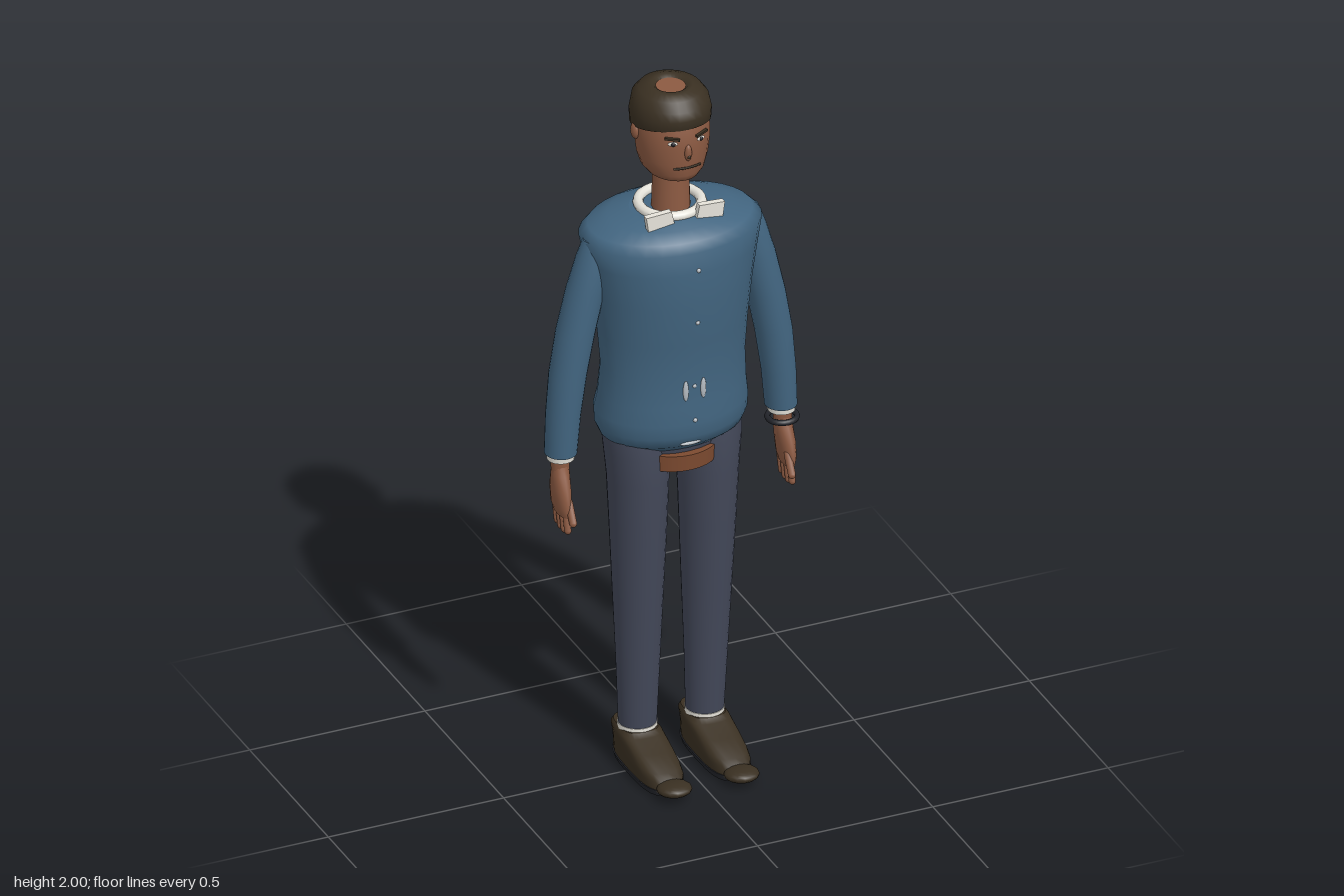
import * as THREE from 'three';

const mat = (name, color) => new THREE.MeshStandardMaterial({ name, color });

// Smooth capped loft through oval rings listed upward:
// [y, x centre, z centre, x radius, z radius, tilt (rise in y per z)]
function loft(rings, { seg = 24, power = 1 } = {}) {
  const pos = [], idx = [];
  const sp = v => Math.sign(v) * Math.abs(v) ** power;
  const ring = ([y, cx, cz, rx, rz, tilt = 0]) => {
    const start = pos.length / 3;
    for (let i = 0; i < seg; i++) {
      const a = (i / seg) * Math.PI * 2;
      const dz = rz * sp(Math.cos(a));
      pos.push(cx + rx * sp(Math.sin(a)), y + dz * tilt, cz + dz);
    }
    return start;
  };
  const starts = rings.map(ring);
  for (let j = 0; j < rings.length - 1; j++) {
    for (let i = 0; i < seg; i++) {
      const n = (i + 1) % seg, a = starts[j], b = starts[j + 1];
      idx.push(a + i, a + n, b + i, a + n, b + n, b + i);
    }
  }
  // Caps have their own vertices so their edges stay crisp
  [[rings[0], false], [rings[rings.length - 1], true]].forEach(([r, up]) => {
    const s = ring(r), c = pos.length / 3;
    pos.push(r[1], r[0], r[2]);
    for (let i = 0; i < seg; i++) {
      const n = (i + 1) % seg;
      idx.push(c, s + (up ? i : n), s + (up ? n : i));
    }
  });
  const g = new THREE.BufferGeometry();
  g.setAttribute('position', new THREE.Float32BufferAttribute(pos, 3));
  g.setIndex(idx);
  g.computeVertexNormals();
  return g;
}

export function createModel() {
  const skin = mat('skin', 0x8c5a42);
  const sweater = mat('sweater blue', 0x426580);
  const trousers = mat('trouser grey', 0x434859);
  const dark = mat('dark brown', 0x3a3022);
  const white = mat('off white', 0xe6e3da);
  const leather = mat('belt leather', 0x7c4a30);
  const black = mat('near black', 0x22242a);
  const silver = mat('button grey', 0xb4bac0);

  const model = new THREE.Group();
  model.name = 'standingMan';
  const add = (name, geo, material, p = [0, 0, 0], r = [0, 0, 0], s = [1, 1, 1], parent = model) => {
    const m = new THREE.Mesh(geo, material);
    m.name = name;
    m.position.set(...p);
    m.rotation.set(...r);
    m.scale.set(...s);
    parent.add(m);
    return m;
  };
  const ball = new THREE.SphereGeometry(1, 14, 10);

  // Sweater body
  add('sweaterBody', loft([
    [0.965, 0, -0.055, 0.165, 0.115],
    [0.99, 0, -0.053, 0.195, 0.143],
    [1.02, 0, -0.053, 0.208, 0.155],
    [1.06, 0, -0.053, 0.21, 0.158],
    [1.11, 0, -0.046, 0.203, 0.148],
    [1.2, 0, -0.04, 0.198, 0.14],
    [1.3, 0, -0.043, 0.205, 0.155],
    [1.42, 0, -0.047, 0.218, 0.174],
    [1.52, 0, -0.053, 0.237, 0.18],
    [1.58, 0, -0.056, 0.25, 0.178],
    [1.605, 0, -0.057, 0.225, 0.163],
    [1.625, 0, -0.057, 0.17, 0.13],
    [1.637, 0, -0.057, 0.11, 0.095],
  ], { seg: 32 }), sweater);

  // Buttons, front strips and buckle
  [[1.07, 0.104], [1.17, 0.099], [1.37, 0.121], [1.53, 0.127]].forEach(([y, z]) =>
    add('button', ball, silver, [0, y, z], [0, 0, 0], [0.006, 0.006, 0.005]));
  [-1, 1].forEach(s =>
    add('frontStrip', ball, silver, [s * 0.025, 1.16, 0.1], [0, 0, 0], [0.008, 0.03, 0.005]));
  add('buckle', ball, silver, [-0.008, 0.998, 0.092], [0, 0, 0], [0.03, 0.006, 0.006]);

  // Hips and belt
  add('hips', loft([
    [0.875, 0, -0.05, 0.06, 0.07],
    [0.91, 0, -0.05, 0.11, 0.1],
    [0.96, 0, -0.05, 0.15, 0.11],
    [1.01, 0, -0.053, 0.18, 0.12],
  ]), trousers);
  add('belt', new THREE.CylinderGeometry(0.126, 0.124, 0.046, 32), leather, [0, 0.93, -0.046]);

  // Neck, collar and head
  add('neck', new THREE.CylinderGeometry(0.047, 0.052, 0.16, 20), skin, [0, 1.7, -0.052]);
  add('collar', new THREE.TorusGeometry(0.083, 0.014, 10, 32), white, [0, 1.643, -0.058], [Math.PI / 2, 0, 0]);
  add('head', loft([
    [1.748, 0, -0.043, 0.045, 0.065],
    [1.757, 0, -0.043, 0.068, 0.087],
    [1.775, 0, -0.044, 0.082, 0.097],
    [1.81, 0, -0.045, 0.093, 0.102],
    [1.86, 0, -0.045, 0.099, 0.105],
    [1.92, 0, -0.05, 0.099, 0.107],
    [1.965, 0, -0.052, 0.08, 0.085],
    [1.993, 0, -0.052, 0.038, 0.04],
  ]), skin);
  add('hair', loft([
    [1.892, 0, -0.054, 0.099, 0.107, 0.2],
    [1.894, 0, -0.055, 0.105, 0.115, 0.2],
    [1.93, 0, -0.055, 0.107, 0.117, 0.1],
    [1.965, 0, -0.055, 0.1, 0.11],
    [1.988, 0, -0.054, 0.083, 0.09],
    [1.999, 0, -0.053, 0.058, 0.062],
    [1.999, 0, -0.053, 0.047, 0.049],
    [1.99, 0, -0.052, 0.036, 0.038],
  ], { seg: 28 }), dark);

  // Face
  add('nose', ball, skin, [0, 1.848, 0.059], [0, 0, 0], [0.01, 0.024, 0.009]);
  add('noseShadowPlate', ball, dark, [0, 1.838, 0.066], [0, 0, 0], [0.005, 0.005, 0.003]);
  add('mouth', new THREE.TorusGeometry(0.115, 0.003, 6, 12, 0.68), dark,
    [0, 1.802, -0.058], [Math.PI / 2, 0, Math.PI / 2 - 0.34]);

  // Paired parts: +1 is the model's left
  [[1, 'left'], [-1, 'right']].forEach(([s, side]) => {
    add(side + 'EyeWhite', ball, white, [s * 0.04, 1.878, 0.05], [0, s * 0.35, 0], [0.013, 0.006, 0.004]);
    add(side + 'Iris', ball, black, [s * 0.04, 1.878, 0.053], [0, s * 0.35, 0], [0.006, 0.006, 0.004]);
    add(side + 'Brow', new THREE.BoxGeometry(0.04, 0.006, 0.008), dark,
      [s * 0.042, 1.894, 0.052], [0, s * 0.4, s * 0.12]);
    add(side + 'Ear', ball, skin, [s * 0.1, 1.88, -0.055], [0, 0, 0], [0.012, 0.024, 0.017]);

    // Bow tie wing
    const wing = new THREE.Shape([
      [0.032, 1.636], [0.106, 1.626], [0.112, 1.668], [0.04, 1.672],
    ].map(([x, y]) => new THREE.Vector2(s * x, y)));
    add(side + 'TieWing', new THREE.ExtrudeGeometry(wing, { depth: 0.018, bevelEnabled: false }), white, [0, 0, 0.026]);

    // Sleeve, cuff and wrist
    add(side + 'Sleeve', loft([
      [0.968, s * 0.314, -0.052, 0.043, 0.046],
      [1.08, s * 0.307, -0.052, 0.046, 0.05],
      [1.2, s * 0.293, -0.053, 0.05, 0.054],
      [1.32, s * 0.271, -0.054, 0.052, 0.055],
      [1.44, s * 0.243, -0.053, 0.052, 0.053],
      [1.53, s * 0.217, -0.052, 0.051, 0.048],
      [1.585, s * 0.2, -0.052, 0.048, 0.04],
    ]), sweater);
    add(side + 'Cuff', new THREE.CylinderGeometry(0.039, 0.037, 0.025, 16), white, [s * 0.315, 0.964, -0.05]);
    add(side + 'Wrist', new THREE.CylinderGeometry(0.026, 0.024, 0.09, 14), skin, [s * 0.317, 0.925, -0.048]);

    // Hand with four fingers and a thumb
    const hand = new THREE.Group();
    hand.name = side + 'Hand';
    model.add(hand);
    add('palm', loft([
      [0.8, s * 0.321, -0.032, 0.014, 0.042],
      [0.825, s * 0.321, -0.034, 0.021, 0.049],
      [0.87, s * 0.32, -0.04, 0.024, 0.046],
      [0.91, s * 0.318, -0.046, 0.024, 0.032],
      [0.935, s * 0.317, -0.048, 0.022, 0.025],
    ], { seg: 16 }), skin, [0, 0, 0], [0, 0, 0], [1, 1, 1], hand);
    const finger = new THREE.CapsuleGeometry(0.011, 0.055, 4, 8);
    for (let i = 0; i < 4; i++) {
      add('finger', finger, skin, [s * 0.32, 0.79 - 0.006 * Math.sin(i * 1.05), -0.066 + i * 0.022],
        [-0.25, 0, 0], [0.9, 1, 1], hand);
    }
    add('thumb', finger, skin, [s * 0.312, 0.815, 0.01], [-0.5, 0, 0], [1, 1, 1], hand);

    // Trouser leg
    add(side + 'TrouserLeg', loft([
      [0.105, s * 0.096, -0.05, 0.051, 0.05],
      [0.3, s * 0.097, -0.045, 0.058, 0.06],
      [0.5, s * 0.098, -0.043, 0.066, 0.073],
      [0.7, s * 0.099, -0.04, 0.074, 0.086],
      [0.86, s * 0.1, -0.04, 0.08, 0.096],
      [0.95, s * 0.104, -0.043, 0.084, 0.1],
      [1.01, s * 0.108, -0.05, 0.084, 0.1],
    ]), trousers);
    add(side + 'Sock', new THREE.CylinderGeometry(0.053, 0.053, 0.016, 20), white, [s * 0.096, 0.107, -0.05]);

    // Shoe, toe cap and sole
    const x = s * 0.096;
    add(side + 'Shoe', loft([
      [0.012, x, 0.02, 0.058, 0.148],
      [0.04, x, 0.018, 0.06, 0.147],
      [0.055, x, 0.008, 0.059, 0.137],
      [0.078, x, -0.025, 0.058, 0.105],
      [0.095, x, -0.055, 0.057, 0.075],
      [0.105, x, -0.06, 0.05, 0.065],
    ], { power: 0.65 }), dark);
    add(side + 'ToeCap', ball, dark, [x, 0.03, 0.185], [-0.1, 0, 0], [0.047, 0.019, 0.048]);
    add(side + 'Sole', loft([
      [0, x, 0.017, 0.056, 0.147],
      [0.018, x, 0.018, 0.062, 0.149],
    ], { power: 0.65 }), black);
  });

  // Bracelet on the left wrist
  add('bracelet', new THREE.TorusGeometry(0.039, 0.008, 8, 24), black, [0.316, 0.93, -0.048], [Math.PI / 2, 0, 0]);

  return model;
}
